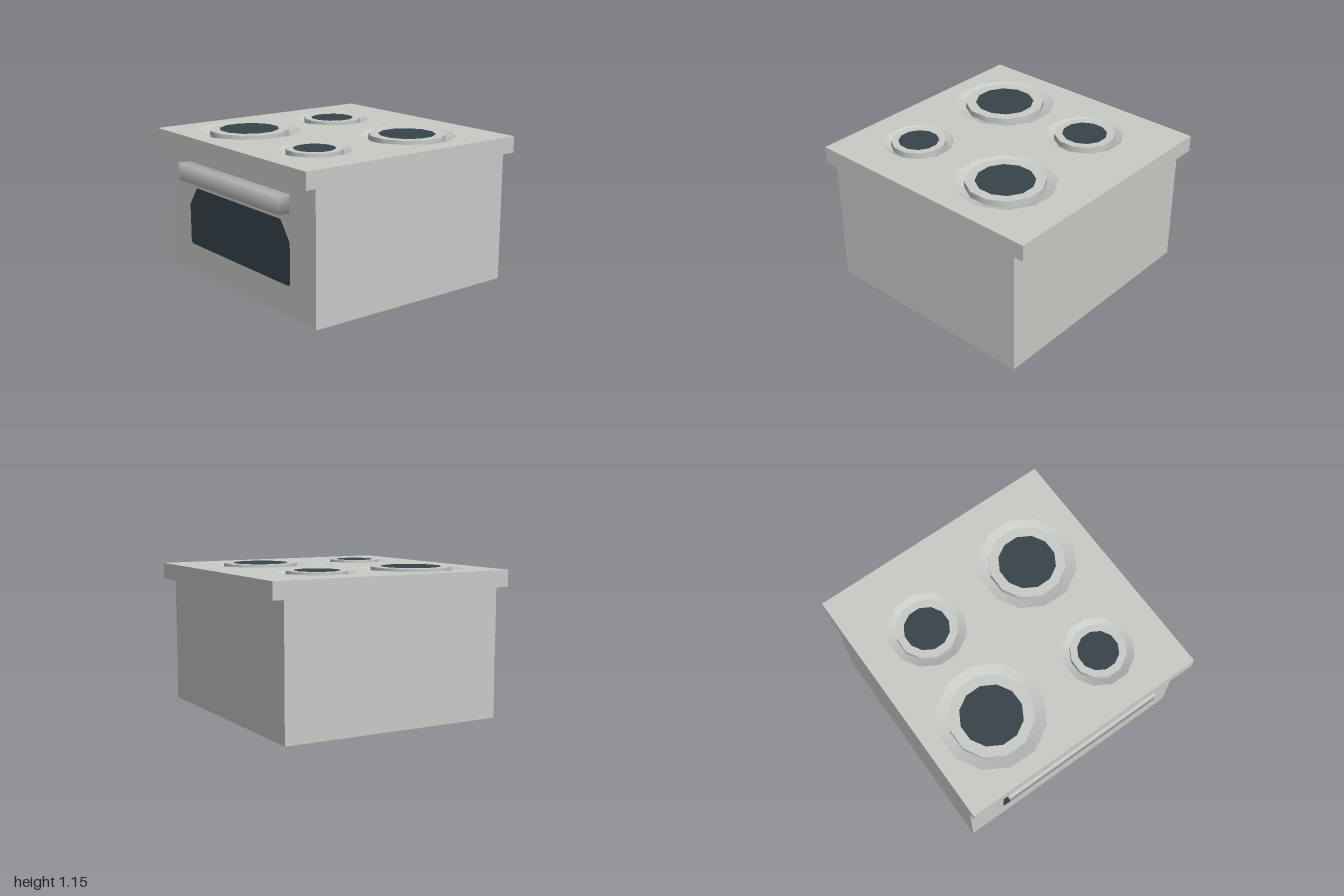
import * as THREE from 'three';
import { mergeVertices } from 'three/addons/utils/BufferGeometryUtils.js';

export function createModel() {
  const group = new THREE.Group();
  const enamel = new THREE.MeshStandardMaterial({ name: 'lightGreyEnamel', color: 0xc9cbc7 });
  const glass = new THREE.MeshStandardMaterial({ name: 'darkGlass', color: 0x37444b });

  const add = (name, geometry, material, parent = group) => {
    const mesh = new THREE.Mesh(geometry, material);
    mesh.name = name;
    parent.add(mesh);
    return mesh;
  };

  // Oven body
  add('body', new THREE.BoxGeometry(1.81, 1.01, 1.96), enamel).position.y = 0.505;

  // Burners: centre, then radii of dish, ring and hot plate
  const SIDES = 12, START = Math.PI / 12, TOP = 1.14;
  const burners = [
    { x: -0.47, z: -0.47, dish: 0.41, ring: 0.321, plate: 0.238 },
    { x: 0.37, z: 0.465, dish: 0.384, ring: 0.3, plate: 0.224 },
    { x: 0.365, z: -0.47, dish: 0.303, ring: 0.238, plate: 0.176 },
    { x: -0.525, z: 0.465, dish: 0.275, ring: 0.214, plate: 0.158 },
  ];

  // Cooktop slab with an opening for each dish
  const slab = new THREE.Shape([[-1, -1], [1, -1], [1, 1], [-1, 1]].map(([x, y]) => new THREE.Vector2(x, y)));
  for (const b of burners) {
    const points = [];
    for (let i = 0; i < SIDES; i++) {
      const a = START + (i / SIDES) * Math.PI * 2;
      points.push(new THREE.Vector2(b.x + b.dish * Math.sin(a), b.z + b.dish * Math.cos(a)));
    }
    slab.holes.push(new THREE.Path(points));
  }
  const slabGeometry = new THREE.ExtrudeGeometry(slab, { depth: 0.13, bevelEnabled: false });
  add('cooktop', slabGeometry.rotateX(Math.PI / 2), enamel).position.y = TOP;

  // Each burner is a sloping dish, a raised ring and a dark plate
  const band = (r1, y1, r2, y2) => new THREE.LatheGeometry(
    [new THREE.Vector2(r1, y1), new THREE.Vector2(r2, y2)], SIDES, START);
  for (const b of burners) {
    const burner = new THREE.Group();
    burner.name = 'burner';
    burner.position.set(b.x, TOP, b.z);
    add('dish', band(b.dish, 0, b.ring, -0.035), enamel, burner);
    add('ringSide', band(b.ring, -0.035, b.ring, 0.014), enamel, burner);
    add('ringTop', band(b.ring, 0.014, b.plate, 0.014), enamel, burner);
    add('hotPlate', band(b.plate, 0.014, 0, 0.014), glass, burner);
    group.add(burner);
  }

  // Oven door window with clipped upper corners
  const half = [[0.66, 0.235], [0.68, 0.25], [0.68, 0.56], [0.57, 0.71]];
  const outline = [...half, ...half.map(([x, y]) => [-x, y]).reverse()];
  const pane = new THREE.Shape(outline.map(([x, y]) => new THREE.Vector2(x, y)));
  add('ovenWindow', new THREE.ShapeGeometry(pane).rotateY(-Math.PI / 2), glass).position.x = -0.908;

  // Door handle with softly shaded edges
  let bar = new THREE.BoxGeometry(0.096, 0.135, 1.36);
  bar.deleteAttribute('normal');
  bar.deleteAttribute('uv');
  bar = mergeVertices(bar);
  bar.computeVertexNormals();
  add('ovenHandle', bar, enamel).position.set(-0.952, 0.8425, 0);

  return group;
}
